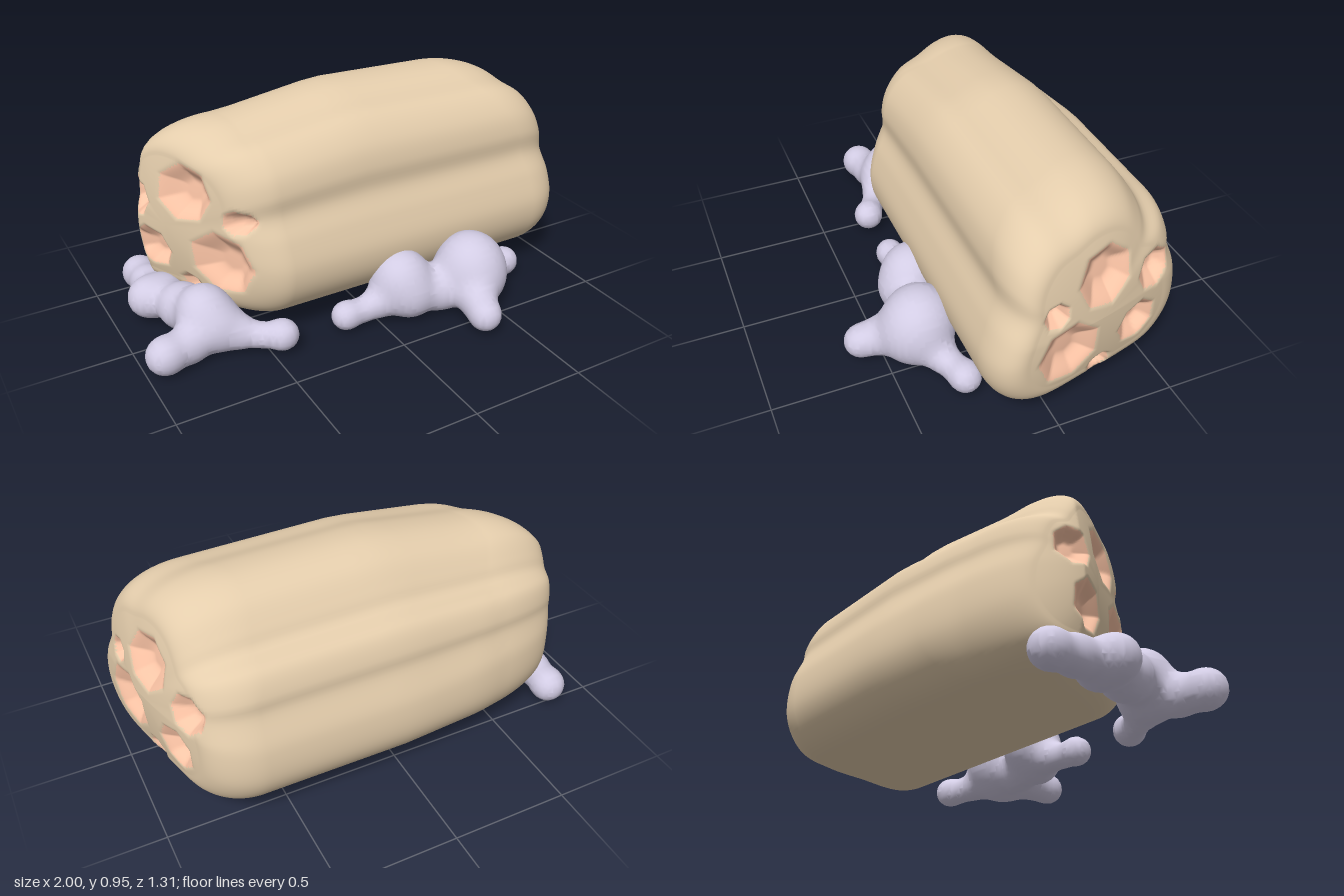
import * as THREE from 'three';

const CZ = -0.18, CY = 0.45; // centre of the loaf's cross-section

// Loaf cross-section as [z, y], going up the front and down the back
const SECTION = [
  [-0.15, 0.08], [0.1, 0.09], [0.2, 0.14], [0.26, 0.23], [0.275, 0.34], [0.24, 0.47], [0.195, 0.58],
  [0.195, 0.68], [0.165, 0.78], [0.085, 0.87], [-0.03, 0.905], [-0.14, 0.943], [-0.25, 0.943], [-0.345, 0.9],
  [-0.42, 0.81], [-0.455, 0.755], [-0.54, 0.715], [-0.585, 0.62], [-0.59, 0.56], [-0.645, 0.41],
  [-0.65, 0.26], [-0.6, 0.16], [-0.52, 0.1], [-0.35, 0.078],
];

// Crumb holes on the end faces: [z, y, radius]
const HOLES = [
  [-0.035, 0.35, 0.138], [-0.195, 0.62, 0.125], [-0.445, 0.53, 0.085],
  [-0.37, 0.32, 0.098], [-0.2, 0.185, 0.055], [0.025, 0.545, 0.055],
];

// Distance to the nearest hole relative to its seven-sided rim (below 1 is inside)
function holeDistance(z, y, shift) {
  let best = 9;
  for (const [hz, hy, r] of HOLES) {
    const dz = z - hz - shift, dy = y - hy, step = Math.PI * 2 / 7;
    const a = (Math.atan2(dy, dz) + Math.PI * 2) % step;
    const rim = r * Math.cos(step / 2) / Math.cos(a - step / 2);
    best = Math.min(best, Math.hypot(dz, dy) / rim);
  }
  return best;
}

// Stations from the left end to the right: s = section scale, h = rounding of the end
function loafStations() {
  const end = [];
  for (let i = 0; i <= 50; i++) end.push({ s: 0.7 * i / 50, h: 0.12 * (i / 50) ** 2 });
  for (let i = 1; i <= 20; i++) {
    const a = i / 20 * Math.PI / 2;
    end.push({ s: 0.7 + 0.3 * Math.sin(a), h: 0.12 + 0.88 * (1 - Math.cos(a)) });
  }
  const rows = end.map(e => ({ ...e, m: 0 }));
  for (let i = 1; i < 12; i++) rows.push({ s: 1, h: 1, m: i / 12 });
  return rows.concat(end.slice().reverse().map(e => ({ ...e, m: 1 })));
}

function createLoaf() {
  const curve = new THREE.CatmullRomCurve3(SECTION.map(([z, y]) => new THREE.Vector3(0, y, z)), true);
  const COLS = 160, ring = curve.getSpacedPoints(COLS).slice(0, COLS);
  const rows = loafStations(), pos = [], inHole = [];
  for (const { s, h, m } of rows) {
    for (const p of ring) {
      let z = CZ + (p.z - CZ) * s, y = CY + (p.y - CY) * s;
      // slanted ends, rounded towards the sides; the left one turns in at the back
      const back = Math.max(0, -0.33 - z), high = Math.max(0, y - 0.6);
      const turn = 0.5 * back + 1.2 * back * back;
      const xl = turn + THREE.MathUtils.lerp(-0.755 + 0.5 * (z - CZ), -0.46 + 0.18 * (z - CZ), h);
      const xr = 1.015 + 0.24 * (z - 0.1) - 0.1 * Math.max(0, y - CY) - (0.22 + 0.3 * high) * h;
      let x = THREE.MathUtils.lerp(xl, xr, m);
      // the loaf gets lower and narrower towards the left end, slightly lower to the right
      const t = THREE.MathUtils.clamp(-x / 0.45, 0, 1), u = THREE.MathUtils.clamp(x / 0.7, 0, 1);
      if (y > CY) y = CY + (y - CY) * (1 - 0.13 * t - 0.035 * u);
      if (z < CZ) z = CZ + (z - CZ) * (1 - 0.08 * t);
      const d = s < 1 ? holeDistance(z, y, m ? 0 : 0.1) : 9;
      x += (m ? -1 : 1) * 0.06 * (1 - THREE.MathUtils.smoothstep(d, 0.3, 1.12));
      pos.push(x, y, z);
      inHole.push(d);
    }
  }
  const crust = [], crumb = [];
  for (let i = 0; i < rows.length - 1; i++) {
    for (let j = 0; j < COLS; j++) {
      const k = (j + 1) % COLS;
      const a = i * COLS + j, b = i * COLS + k, c = b + COLS, d = a + COLS;
      for (const tri of [[a, d, c], [a, c, b]]) {
        const mean = (inHole[tri[0]] + inHole[tri[1]] + inHole[tri[2]]) / 3;
        (mean < 1 ? crumb : crust).push(...tri);
      }
    }
  }
  // both surfaces share vertices and smooth normals
  const whole = new THREE.BufferGeometry();
  whole.setAttribute('position', new THREE.Float32BufferAttribute(pos, 3));
  whole.setIndex(crust.concat(crumb));
  whole.computeVertexNormals();
  const part = (index, color, name) => {
    const g = whole.clone();
    g.setIndex(index);
    const mesh = new THREE.Mesh(g, new THREE.MeshStandardMaterial({ color }));
    mesh.name = name;
    return mesh;
  };
  const loaf = new THREE.Group();
  loaf.name = 'loaf';
  loaf.add(part(crust, 0xe4cdac, 'crust'), part(crumb, 0xffc7a8, 'crumbHoles'));
  return loaf;
}

// Balls [x, y, z, radius] blended into one smooth skin (surface nets on a grid)
function createPuff(name, balls) {
  const K = 0.025, CELL = 0.022;
  const field = (x, y, z) => {
    let sum = 0;
    for (const [bx, by, bz, r] of balls) sum += Math.exp((r - Math.hypot(x - bx, y - by, z - bz)) / K);
    return -K * Math.log(sum + 1e-30);
  };
  const lo = [0, 1, 2].map(a => Math.min(...balls.map(b => b[a] - b[3])) - 0.08);
  const n = [0, 1, 2].map(a => Math.ceil((Math.max(...balls.map(b => b[a] + b[3])) + 0.08 - lo[a]) / CELL));
  const id = (i, j, k) => (i * n[1] + j) * n[2] + k;
  const stride = [n[1] * n[2], n[2], 1];
  const value = new Float32Array(n[0] * n[1] * n[2]);
  for (let i = 0; i < n[0]; i++) for (let j = 0; j < n[1]; j++) for (let k = 0; k < n[2]; k++)
    value[id(i, j, k)] = field(lo[0] + i * CELL, lo[1] + j * CELL, lo[2] + k * CELL);

  const pos = [], index = [], vertexOf = new Map();
  // one vertex per crossed cell, pulled onto the surface
  const vertex = (cell) => {
    if (vertexOf.has(cell)) return vertexOf.get(cell);
    const g = [Math.floor(cell / stride[0]), Math.floor(cell / n[2]) % n[1], cell % n[2]];
    let p = g.map((v, a) => lo[a] + (v + 0.5) * CELL);
    for (let it = 0; it < 3; it++) {
      const f = field(...p), e = 0.002;
      const grad = [0, 1, 2].map(a => (field(...p.map((v, b) => v + (a === b ? e : 0))) - f) / e);
      const len = Math.max(0.2, grad[0] ** 2 + grad[1] ** 2 + grad[2] ** 2);
      p = p.map((v, a) => v - f * grad[a] / len);
    }
    pos.push(p[0], Math.max(0, p[1]), p[2]);
    vertexOf.set(cell, pos.length / 3 - 1);
    return pos.length / 3 - 1;
  };
  for (let i = 1; i < n[0] - 1; i++) for (let j = 1; j < n[1] - 1; j++) for (let k = 1; k < n[2] - 1; k++) {
    const g = id(i, j, k);
    for (let a = 0; a < 3; a++) {
      const inside = value[g] < 0;
      if (inside === value[g + stride[a]] < 0) continue;
      const b = stride[(a + 1) % 3], c = stride[(a + 2) % 3];
      const q = [g - b - c, g - c, g, g - b].map(vertex);
      if (!inside) q.reverse();
      index.push(q[0], q[1], q[2], q[0], q[2], q[3]);
    }
  }
  const geo = new THREE.BufferGeometry();
  geo.setAttribute('position', new THREE.Float32BufferAttribute(pos, 3));
  geo.setIndex(index);
  geo.computeVertexNormals();
  const mesh = new THREE.Mesh(geo, new THREE.MeshStandardMaterial({ color: 0xd2cce4 }));
  mesh.name = name;
  return mesh;
}

export function createModel() {
  const model = new THREE.Group();
  model.name = 'loafWithPuffs';
  model.add(createLoaf());
  // puff along the front
  model.add(createPuff('frontPuff', [
    [0.43, 0.19, 0.35, 0.145], [0.44, 0.14, 0.38, 0.13], [0.12, 0.175, 0.27, 0.125], [0.14, 0.11, 0.32, 0.1],
    [0.28, 0.1, 0.34, 0.09], [0.37, 0.1, 0.5, 0.07], [0.35, 0.08, 0.585, 0.065],
    [0.01, 0.085, 0.28, 0.06], [-0.07, 0.07, 0.28, 0.042], [-0.155, 0.07, 0.28, 0.06],
    [0.57, 0.09, 0.31, 0.055], [0.63, 0.075, 0.28, 0.035], [0.7, 0.08, 0.26, 0.063],
  ]));
  // puff around the left end
  model.add(createPuff('sidePuff', [
    [-0.71, 0.17, 0.08, 0.105], [-0.68, 0.11, 0.13, 0.105], [-0.75, 0.12, -0.06, 0.1], [-0.85, 0.11, -0.21, 0.085],
    [-0.77, 0.1, -0.22, 0.085], [-0.8, 0.09, -0.36, 0.075], [-0.8, 0.08, -0.48, 0.075],
    [-0.81, 0.08, 0.16, 0.075], [-0.92, 0.08, 0.185, 0.078],
    [-0.6, 0.085, 0.19, 0.06], [-0.53, 0.075, 0.24, 0.042], [-0.45, 0.08, 0.285, 0.065],
  ]));
  return model;
}
